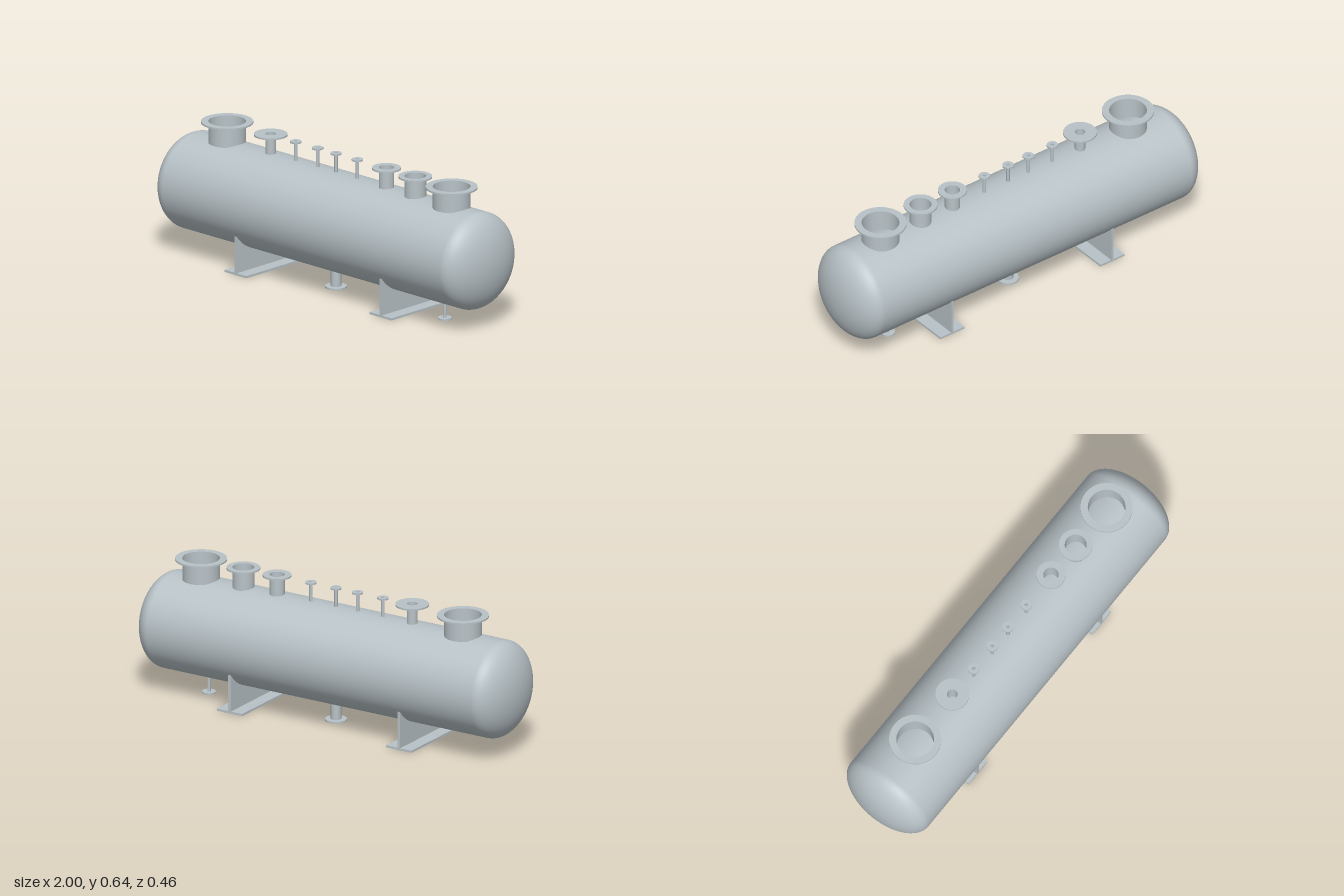
import * as THREE from 'three';
import { toCreasedNormals } from 'three/addons/utils/BufferGeometryUtils.js';

const R = 0.229, CY = 0.323;      // shell radius and axis height
const HEAD = 0.12;                // depth of the domed ends

export function createModel() {
  const model = new THREE.Group();
  model.name = 'pressureVessel';
  const steel = new THREE.MeshStandardMaterial({ color: 0xb8c2c7, side: THREE.DoubleSide });
  steel.name = 'paleSteel';

  function add(parent, name, geometry, x = 0, y = 0, z = 0) {
    const mesh = new THREE.Mesh(geometry, steel);
    mesh.name = name;
    mesh.position.set(x, y, z);
    parent.add(mesh);
    return mesh;
  }

  // Cylindrical shell with elliptical heads, lathed along x
  const profile = [];
  const n = 20;
  for (let i = 0; i <= n; i++) {
    const a = (i / n) * Math.PI / 2;
    profile.push(new THREE.Vector2(R * Math.sin(a), -(1 - HEAD) - HEAD * Math.cos(a)));
  }
  for (let i = n; i >= 0; i--) profile.push(new THREE.Vector2(profile[i].x, -profile[i].y));
  const shell = new THREE.LatheGeometry(profile, 96);
  shell.rotateZ(-Math.PI / 2);
  add(model, 'shell', shell, 0, CY, 0);

  // Nozzle: open pipe between two heights, with a ring flange at its outer end
  function nozzle(name, x, pipeR, flangeR, pipeLow, pipeHigh, flangeLow, flangeHigh) {
    const group = new THREE.Group();
    group.name = name;
    group.position.x = x;
    const pipe = new THREE.CylinderGeometry(pipeR, pipeR, pipeHigh - pipeLow, 48, 1, true);
    add(group, 'pipe', pipe, 0, (pipeLow + pipeHigh) / 2, 0);
    const ring = [
      [pipeR, flangeLow], [flangeR, flangeLow], [flangeR, flangeHigh],
      [pipeR, flangeHigh], [pipeR, flangeLow],
    ].map(([r, y]) => new THREE.Vector2(r, y));
    add(group, 'flange', toCreasedNormals(new THREE.LatheGeometry(ring, 48), 0.6));
    model.add(group);
  }

  // Top row: x, pipe radius, flange radius
  [
    ['manway', -0.69, 0.086, 0.119],
    ['wideFlangeNozzle', -0.414, 0.024, 0.077],
    ['smallNozzle', -0.255, 0.008, 0.026],
    ['smallNozzle', -0.117, 0.008, 0.026],
    ['smallNozzle', 0, 0.008, 0.026],
    ['smallNozzle', 0.136, 0.008, 0.026],
    ['mediumNozzle', 0.32, 0.035, 0.066],
    ['mediumNozzle', 0.503, 0.05, 0.077],
    ['manway', 0.733, 0.086, 0.119],
  ].forEach(([name, x, r, f]) => nozzle(name, x, r, f, 0.543, 0.64, 0.637, 0.645));

  // Drains underneath
  nozzle('mainDrain', 0, 0.024, 0.05, 0.005, 0.105, 0.002, 0.01);
  nozzle('smallDrain', 0.69, 0.008, 0.032, 0.005, 0.1, 0.002, 0.01);

  // Saddles: base plate and upright web cut to the curve of the shell
  const half = 0.183, thick = 0.014;
  const a = Math.acos(half / R);
  const web = new THREE.Shape();
  web.moveTo(-half, 0.008);
  web.lineTo(half, 0.008);
  web.lineTo(half, CY - R * Math.sin(a));
  web.absarc(0, CY, R, -a, a - Math.PI, true);
  web.closePath();
  const webGeometry = new THREE.ExtrudeGeometry(web, { depth: thick, bevelEnabled: false, curveSegments: 40 });
  webGeometry.translate(0, 0, -thick / 2);
  webGeometry.rotateY(Math.PI / 2);
  for (const x of [-0.46, 0.46]) {
    const saddle = new THREE.Group();
    saddle.name = x < 0 ? 'rightSaddle' : 'leftSaddle';
    saddle.position.x = x;
    add(saddle, 'basePlate', new THREE.BoxGeometry(0.138, 0.01, half * 2), 0, 0.005, 0);
    add(saddle, 'web', webGeometry);
    model.add(saddle);
  }
  return model;
}
